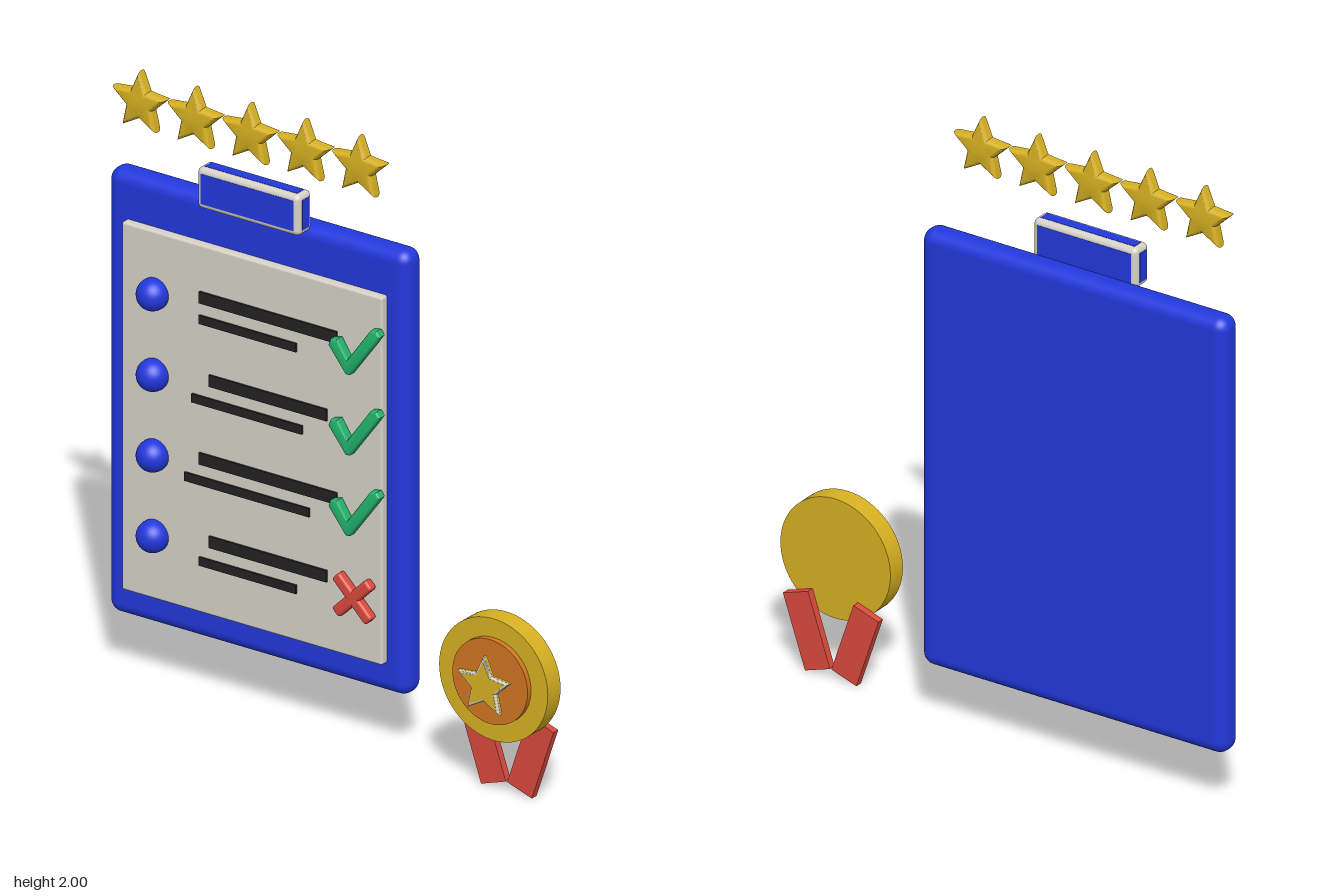
import * as THREE from 'three';
import { toCreasedNormals } from 'three/addons/utils/BufferGeometryUtils.js';
import { RoundedBoxGeometry } from 'three/addons/geometries/RoundedBoxGeometry.js';

const mat = (name, color) => {
  const m = new THREE.MeshStandardMaterial({ color });
  m.name = name;
  return m;
};

export function createModel() {
  const blue = mat('blue', 0x2238dc);
  const grey = mat('light grey', 0xd6d2c8);
  const black = mat('black', 0x222222);
  const gold = mat('gold', 0xd6b022);
  const orange = mat('orange', 0xd07622);
  const red = mat('red', 0xd8493d);
  const green = mat('green', 0x22b26c);

  const root = new THREE.Group();
  root.name = 'clipboardWithMedal';

  const add = (name, geo, material, x, y, z, parent = root) => {
    const m = new THREE.Mesh(geo, material);
    m.name = name;
    m.position.set(x, y, z);
    parent.add(m);
    return m;
  };

  // Extruded outline, total thickness t, centred on z = 0, bevelled inside its outline
  const plate = (points, t, bevel, inset, segments = 1) => {
    const shape = new THREE.Shape(points.map(([x, y]) => new THREE.Vector2(x, y)));
    const geo = new THREE.ExtrudeGeometry(shape, {
      depth: t - 2 * bevel, bevelEnabled: bevel > 0, bevelThickness: bevel,
      bevelSize: inset, bevelOffset: -inset, bevelSegments: segments,
    });
    geo.translate(0, 0, -(t - 2 * bevel) / 2);
    return toCreasedNormals(geo, 0.6);
  };
  const starPoints = (outer, inner) => Array.from({ length: 10 }, (_, i) => {
    const a = Math.PI / 2 + i * Math.PI / 5, r = i % 2 ? inner : outer;
    return [r * Math.cos(a), r * Math.sin(a)];
  });

  // Board and paper
  add('board', new RoundedBoxGeometry(1.097, 1.445, 0.09, 5, 0.04), blue, -0.291, 0.915, -0.072);
  add('paper', new RoundedBoxGeometry(0.95, 1.196, 0.034, 2, 0.008), grey, -0.29, 0.892, -0.017);

  // Clip: grey rounded block with blue panels on every side
  const clip = new THREE.Group();
  clip.name = 'clip';
  clip.position.set(-0.292, 1.683, -0.016);
  root.add(clip);
  const [w, h, d, rim, proud] = [0.374, 0.134, 0.07, 0.036, 0.002];
  add('clipFrame', new RoundedBoxGeometry(w, h, d, 3, 0.018), grey, 0, 0, 0, clip);
  add('clipPanelFrontBack', new THREE.BoxGeometry(w - rim, h - rim, d + proud), blue, 0, 0, 0, clip);
  add('clipPanelSides', new THREE.BoxGeometry(w + proud, h - rim, d - rim), blue, 0, 0, 0, clip);
  add('clipPanelTopBottom', new THREE.BoxGeometry(w - rim, h + proud, d - rim), blue, 0, 0, 0, clip);

  // Checklist rows: bullet, two text bars and a mark
  const rows = [
    [-0.478, 0.024, -0.478, -0.124],
    [-0.442, -0.013, -0.505, -0.103],
    [-0.478, 0.024, -0.532, -0.077],
    [-0.442, -0.013, -0.478, -0.124],
  ];
  const bullet = new THREE.SphereGeometry(0.051, 32, 20);
  const check = plate([
    [-0.09, 0.016], [-0.083, 0.036], [-0.058, 0.042], [-0.021, -0.015],
    [0.062, 0.1], [0.085, 0.104], [0.098, 0.087], [-0.013, -0.064], [-0.027, -0.064],
  ].map(([x, y]) => [x, y]), 0.034, 0.008, 0.006, 3);
  const crossBar = new RoundedBoxGeometry(0.172, 0.037, 0.034, 3, 0.01);
  rows.forEach(([a, b, c, e], i) => {
    const y = 1.29 - 0.262 * i;
    add('bullet', bullet, blue, -0.642, y, 0.011);
    add('longTextBar', new THREE.BoxGeometry(b - a, 0.038, 0.014), black, (a + b) / 2, y + 0.031, 0);
    add('shortTextBar', new THREE.BoxGeometry(e - c, 0.028, 0.014), black, (c + e) / 2, y - 0.041, 0);
    if (i < 3) add('checkMark', check, green, 0.103, y, 0.019);
    else for (const s of [-1, 1]) {
      add('crossMarkBar', crossBar, red, 0.098, y - 0.003, 0.019).rotation.z = s * Math.PI / 4;
    }
  });

  // Row of five rating stars
  const ratingStar = plate(starPoints(0.103, 0.05), 0.044, 0.019, 0.017, 5);
  for (let i = 0; i < 5; i++) add('ratingStar', ratingStar, gold, -0.69 + 0.2 * i, 1.9, 0.002);

  // Medal discs
  const medal = new THREE.Group();
  medal.name = 'medal';
  medal.position.set(0.635, 0.39, 0);
  root.add(medal);
  const disc = (name, r, z0, z1, m) => {
    const g = new THREE.CylinderGeometry(r, r, z1 - z0, 64).rotateX(Math.PI / 2);
    add(name, g, m, 0, 0, (z0 + z1) / 2, medal);
  };
  disc('medalRim', 0.198, -0.005, 0.06, gold);
  disc('medalCentre', 0.137, 0.05, 0.078, orange);

  // Medal star: grey bevelled edge, gold faces and gold side band
  const medalStar = starPoints(0.099, 0.048);
  add('medalStarEdge', plate(medalStar, 0.021, 0.007, 0.007, 3), grey, 0, -0.004, 0.104, medal);
  add('medalStarFaces', plate(starPoints(0.082, 0.04), 0.0225, 0, 0), gold, 0, -0.004, 0.104, medal);
  add('medalStarBand', plate(starPoints(0.1, 0.0485), 0.007, 0, 0), gold, 0, -0.004, 0.104, medal);

  // Ribbon tails
  for (const s of [-1, 1]) {
    const tail = add('ribbonTail', new THREE.BoxGeometry(0.095, 0.248, 0.024), red, s * 0.087, -0.254, -0.018, medal);
    tail.rotation.z = -s * 0.325;
    tail.rotation.z *= -1;
    tail.rotation.z = -s * 0.325;
  }
  return root;
}
